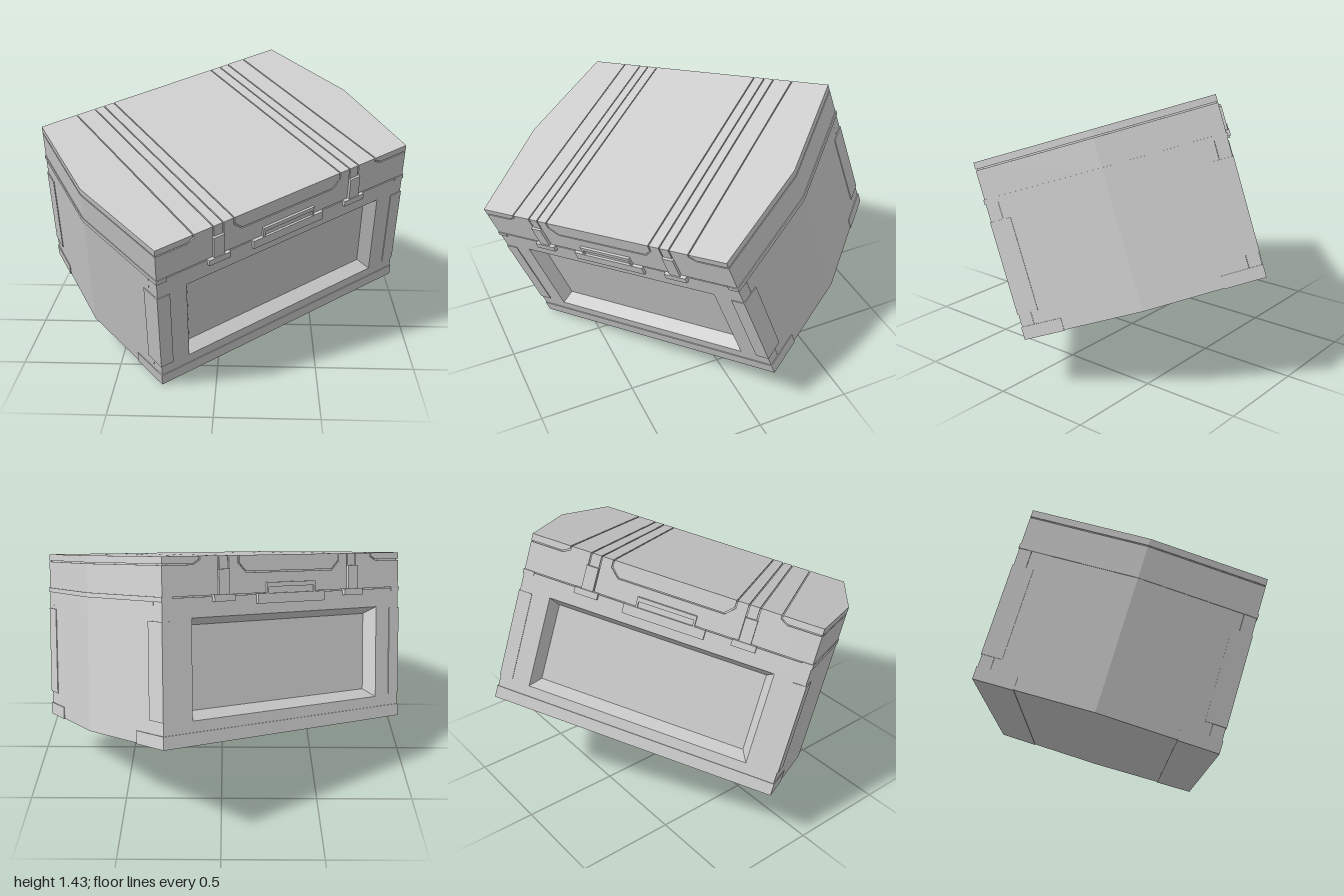
import * as THREE from 'three';

// Half sizes in the crate's own axes: end width, middle width, height, depth
const A = 0.732, M = 0.804, H = 0.4365, D = 0.585;
const RISE = 0.004; // how far trim stands proud
const mat = new THREE.MeshStandardMaterial({ color: 0xcccccc, flatShading: true });

// Half width of the six-sided plan at depth z
const sideX = (z) => M - (M - A) * Math.abs(z) / D;

function polygon(points) {
  return new THREE.Shape(points.map(([x, y]) => new THREE.Vector2(x, y)));
}

export function createModel() {
  const crate = new THREE.Group();
  crate.name = 'crate';

  function add(name, geometry) {
    const mesh = new THREE.Mesh(geometry, mat);
    mesh.name = name;
    crate.add(mesh);
    return mesh;
  }

  // Plan outline given as [x, z], raised from y0 to y1
  function plan(name, points, y0, y1) {
    const g = new THREE.ExtrudeGeometry(polygon(points.map(([x, z]) => [x, -z])), { depth: y1 - y0, bevelEnabled: false });
    g.rotateX(-Math.PI / 2).translate(0, y0, 0);
    return add(name, g);
  }

  // Front outline given as [x, y], run through the whole depth
  function section(name, points, depth = D) {
    const g = new THREE.ExtrudeGeometry(polygon(points), { depth: depth * 2, bevelEnabled: false });
    g.translate(0, 0, -depth);
    return add(name, g);
  }

  function box(name, x0, x1, y0, y1, z0, z1) {
    const g = new THREE.BoxGeometry(x1 - x0, y1 - y0, Math.abs(z1 - z0));
    g.translate((x0 + x1) / 2, (y0 + y1) / 2, (z0 + z1) / 2);
    return add(name, g);
  }

  // Six-sided plan cut off at depth d, with sides moved by off
  const hex = (d, off) => [
    [-sideX(d) - off, d], [sideX(d) + off, d], [M + off, 0],
    [sideX(d) + off, -d], [-sideX(d) - off, -d], [-M - off, 0]];

  // Face wall with a sunken, sloped panel: nested rectangles joined in a loop
  function panelWall() {
    const front = D, floor = D - 0.06, y0 = -H + 0.003, y1 = 0.249;
    const rings = [
      [sideX(floor), y0, y1, floor - 0.002],
      [A, y0, y1, front],
      [0.575, -0.32, 0.155, front],
      [0.538, -0.283, 0.118, floor],
    ];
    const pos = [], index = [];
    for (const [w, b, t, z] of rings) pos.push(-w, b, z, w, b, z, w, t, z, -w, t, z);
    for (let r = 0; r < rings.length - 1; r++) {
      for (let i = 0; i < 4; i++) {
        const a = r * 4 + i, b = r * 4 + (i + 1) % 4;
        index.push(a, b, b + 4, a, b + 4, a + 4);
      }
    }
    const k = (rings.length - 1) * 4;
    index.push(k, k + 1, k + 2, k, k + 2, k + 3);
    const g = new THREE.BufferGeometry();
    g.setAttribute('position', new THREE.Float32BufferAttribute(pos, 3));
    g.setIndex(index);
    const flat = g.toNonIndexed();
    flat.computeVertexNormals();
    return flat;
  }

  // Lower body with a sunken panel on front and back
  plan('bodyCore', hex(D - 0.063, 0), -H + 0.003, 0.249);
  add('frontPanel', panelWall());
  add('backPanel', panelWall().rotateY(Math.PI));

  // Lid core forms the floor of the seams between the lid plates
  plan('lidCore', hex(D - 0.007, -0.007), 0.24, H - 0.007);

  // Middle lid plate, folded over the front and back edges
  section('lidMiddlePlate', [
    [-0.307, H], [-0.307, 0.402], [-0.265, 0.36],
    [0.265, 0.36], [0.307, 0.402], [0.307, H]]);

  for (const s of [-1, 1]) {
    const mirror = (points) => points.map(([x, y]) => [x * s, y]);

    // Lid rim, straps and outer plates
    section('lidInnerRim', mirror([
      [0, 0.255], [0.367, 0.255], [0.367, H], [0.313, H],
      [0.313, 0.398], [0.268, 0.354], [0, 0.354]]));
    section('lidStrap', mirror([[0.373, 0.255], [0.421, 0.255], [0.421, H], [0.373, H]]));
    section('lidOuterRim', mirror([
      [0.427, 0.255], [0.62, 0.255], [0.62, 0.397], [0.565, 0.397],
      [0.527, 0.418], [0.527, H], [0.427, H]]));
    section('lidOuterPlate', mirror([
      [0.533, H], [0.533, 0.422], [0.567, 0.403], [0.62, 0.403], [0.62, H]]));
    const end = (inner, off) => mirror([
      [inner, D + off], [A + off, D + off], [M + off, 0],
      [A + off, -D - off], [inner, -D - off]]);
    plan('lidEndRim', end(0.61, 0), 0.255, 0.397);
    plan('lidEndPlate', end(0.61, 0), 0.403, H);

    // Rail under the lid on each end, wrapping the corners
    plan('endRail', end(0.68, RISE), 0.233, 0.256);

    // Corner guards
    for (const f of [-1, 1]) {
      plan('cornerGuard', [
        [0.667 * s, 0.485 * f], [0.667 * s, (D + RISE) * f], [(A + RISE) * s, (D + RISE) * f],
        [(sideX(0.485) + RISE) * s, 0.485 * f]], -0.312, 0.145);
    }
  }

  for (const f of [-1, 1]) {
    const z = (p) => (D + p) * f;

    // Foot strip along the bottom edge
    const w0 = sideX(0.388) + RISE, w1 = A + RISE;
    plan('foot', [[-w0, 0.388 * f], [-w1, z(RISE)], [w1, z(RISE)], [w0, 0.388 * f]], -H, -0.374);

    // Latches
    for (const x of [-0.4, 0.4]) {
      box('latchTongue', x - 0.03, x + 0.03, 0.25, 0.375, z(-0.02), z(0.012));
      box('latchClip', x - 0.06, x + 0.06, 0.225, 0.257, z(-0.02), z(0.018));
    }

    // Handle with a finger slot
    box('handlePlate', -0.207, 0.207, 0.205, 0.253, z(-0.02), z(0.014));
    box('handleSlot', -0.15, 0.15, 0.253, 0.283, z(-0.02), z(0.003));
    box('handleBar', -0.15, 0.15, 0.283, 0.305, z(-0.02), z(0.012));
    for (const x of [-0.145, 0.145]) box('handleEnd', x - 0.005, x + 0.005, 0.253, 0.283, z(-0.02), z(0.012));
  }

  // The crate rests tilted on one corner
  const basis = new THREE.Matrix4().makeBasis(
    new THREE.Vector3(0.817, 0.190, -0.545).normalize(),
    new THREE.Vector3(0.009, 0.940, 0.341).normalize(),
    new THREE.Vector3(0.577, -0.283, 0.766).normalize());
  crate.quaternion.setFromRotationMatrix(basis);
  crate.position.y = 0.72;

  const model = new THREE.Group();
  model.name = 'tiltedCrate';
  model.add(crate);
  return model;
}
